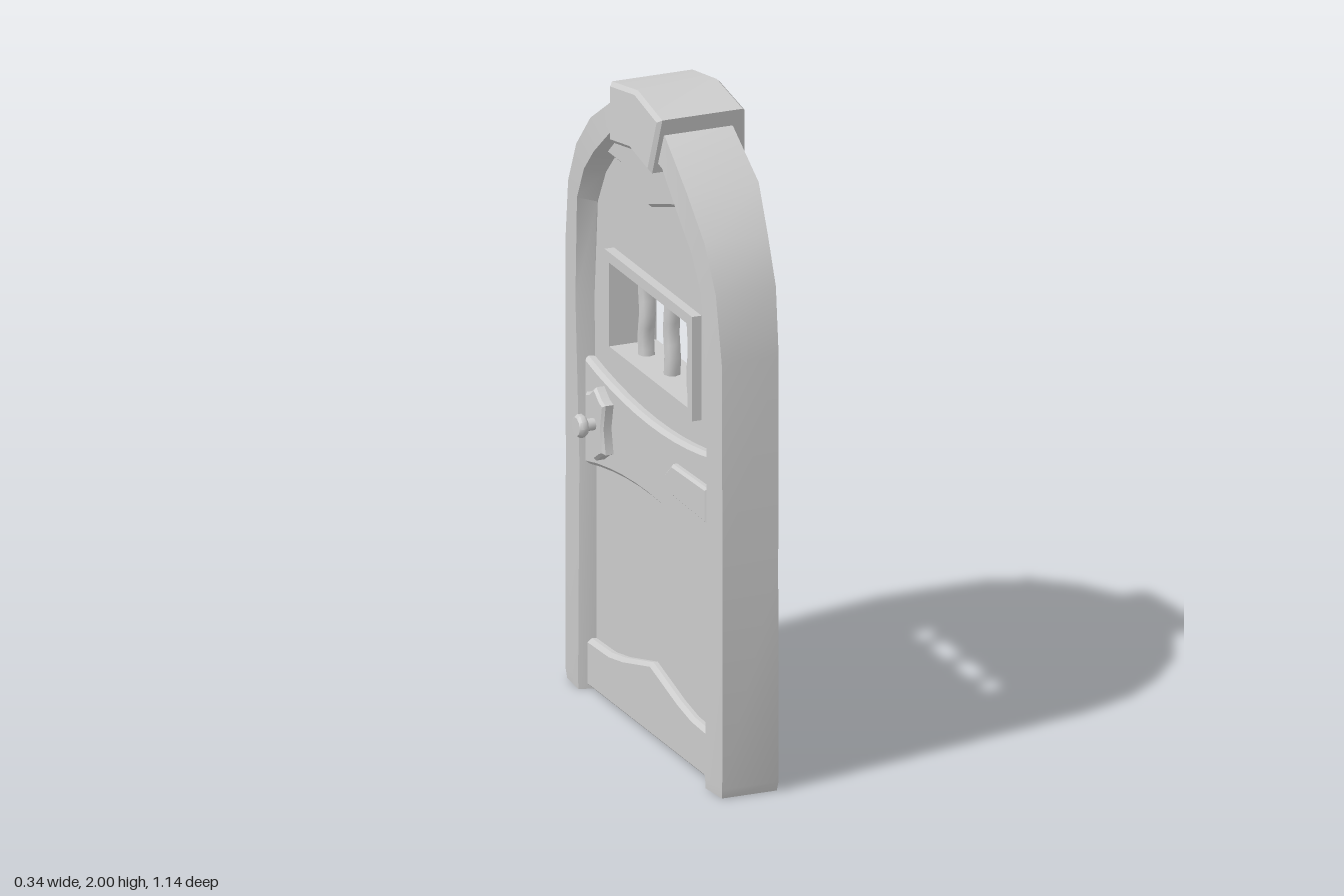
import * as THREE from 'three';
import { toCreasedNormals } from 'three/addons/utils/BufferGeometryUtils.js';

const material = new THREE.MeshStandardMaterial({ color: 0xcccccc });

function addMesh(parent, name, geometry, crease = 0.45) {
  const mesh = new THREE.Mesh(toCreasedNormals(geometry, crease), material);
  mesh.name = name;
  parent.add(mesh);
  return mesh;
}

const toShape = (pts) => new THREE.Shape(pts.map(([z, y]) => new THREE.Vector2(z, y)));
const mirrored = (half) => [...half, ...half.filter(([z]) => z !== 0).reverse().map(([z, y]) => [-z, y])];
const rect = (w, y0, y1) => [[w, y0], [w, y1], [-w, y1], [-w, y0]];

// Extrudes a (z, y) outline through the door, centred on x = 0, with a chamfered rim
function slab(shape, halfX, bevel = 0.01) {
  const g = new THREE.ExtrudeGeometry(shape, {
    depth: 2 * (halfX - bevel), bevelEnabled: bevel > 0, bevelThickness: bevel,
    bevelSize: bevel, bevelOffset: -bevel, bevelSegments: 1, curveSegments: 10,
  });
  g.translate(0, 0, -(halfX - bevel));
  g.rotateY(-Math.PI / 2);
  return g;
}

// Closed loft through equal rings of points, capped at both ends
function loft(rings) {
  const n = rings[0].length, index = [];
  for (let s = 0; s < rings.length - 1; s++) {
    for (let k = 0; k < n; k++) {
      const a = s * n + k, b = s * n + (k + 1) % n;
      index.push(a, b, b + n, a, b + n, a + n);
    }
  }
  const e = (rings.length - 1) * n;
  for (let k = 1; k < n - 1; k++) index.push(0, k + 1, k, e, e + k, e + k + 1);
  const g = new THREE.BufferGeometry();
  g.setAttribute('position', new THREE.Float32BufferAttribute(rings.flat(2), 3));
  g.setIndex(index);
  return g;
}

// Half arch stations: outer z, outer y, inner z, inner y, outer half depth, inner half depth
const ARCH = [
  [0.562, 0, 0.462, 0, 0.095, 0.103],
  [0.57, 0.03, 0.462, 0.03, 0.097, 0.104],
  [0.57, 0.7, 0.462, 0.7, 0.096, 0.1],
  [0.569, 1.34, 0.477, 1.2, 0.098, 0.106],
  [0.537, 1.544, 0.452, 1.52, 0.103, 0.112],
  [0.467, 1.68, 0.39, 1.63, 0.108, 0.117],
  [0.35, 1.8, 0.31, 1.71, 0.114, 0.121],
  [0.18, 1.915, 0.18, 1.82, 0.108, 0.118],
  [0, 1.96, 0, 1.85, 0.108, 0.118],
];

function archFrame() {
  const ring = ([oz, oy, iz, iy, ox, ix], side) => {
    const slant = side > 0 && oy < 1.75 ? 0.016 : 0;
    const mz = iz * 0.965, my = iy > 1.3 ? iy - 0.015 : iy;
    return [
      [-ox, oy, side * oz], [ox - slant, oy, side * oz], [ix, iy, side * iz],
      [0.055, my, side * mz], [-0.055, my, side * mz], [-ix, iy, side * iz],
    ];
  };
  return loft([
    ...ARCH.map((s) => ring(s, 1)),
    ...ARCH.slice(0, -1).reverse().map((s) => ring(s, -1)),
  ]);
}

export function createModel() {
  const model = new THREE.Group();
  model.name = 'archedDoor';

  // Stone surround
  addMesh(model, 'archFrame', archFrame());

  // Keystone, flaring towards its lower edge
  const key = slab(toShape(mirrored([[0.145, 1.795], [0.183, 1.968], [0, 2]])
    .concat([[0, 1.82]])), 0.15, 0.012);
  const kp = key.attributes.position;
  for (let i = 0; i < kp.count; i++) {
    const flare = 1.03 - 0.13 * (kp.getY(i) - 1.8) / 0.2;
    kp.setX(i, kp.getX(i) * flare + 0.009);
  }
  addMesh(model, 'keystone', key);

  const door = new THREE.Group();
  door.name = 'door';
  door.position.x = -0.008;
  model.add(door);

  // Door leaf with window opening
  const leafHalf = ARCH.map(([, , z, y]) => [z, y > 1.3 ? y + 0.015 : y]);
  const leaf = toShape(mirrored(leafHalf));
  leaf.holes.push(new THREE.Path(rect(0.287, 1.108, 1.372).map((p) => new THREE.Vector2(...p))));
  addMesh(door, 'leaf', slab(leaf, 0.045, 0));

  // Bottom rail rising to a point
  addMesh(door, 'bottomRail', slab(toShape(mirrored(
    [[0.465, 0.005], [0.465, 0.155], [0.3, 0.16], [0.2, 0.178], [0, 0.23]])), 0.07, 0.012));

  // Bowed middle rail
  const rail = new THREE.Shape();
  rail.moveTo(0.468, 0.69);
  rail.quadraticCurveTo(0, 0.8, -0.468, 0.69);
  rail.lineTo(-0.468, 1.025);
  rail.quadraticCurveTo(0, 0.93, 0.468, 1.025);
  addMesh(door, 'middleRail', slab(rail, 0.075, 0.012));

  // Top board filling the arch, pointed below
  const top = [[0, 1.635], [0.2, 1.7], [0.325, 1.705], [0.18, 1.835], [0, 1.865]];
  addMesh(door, 'topBoard', slab(toShape(
    [...top, ...top.slice(1, -1).reverse().map(([z, y]) => [-z, y])]), 0.075, 0.01));

  // Window surround and bars
  const surround = toShape(rect(0.318, 1.08, 1.402));
  surround.holes.push(new THREE.Path(rect(0.285, 1.112, 1.37).map((p) => new THREE.Vector2(...p))));
  addMesh(door, 'windowFrame', slab(surround, 0.075, 0));
  [0.17, 0, -0.185].forEach((z, i) => {
    const bend = i === 1 ? -0.006 : 0.007;
    const path = new THREE.CatmullRomCurve3([1.09, 1.17, 1.24, 1.31, 1.39].map((y, k) =>
      new THREE.Vector3(0, y, z + bend * [0.4, -0.8, 1, -0.4, 0.8][k])));
    addMesh(door, 'windowBar', new THREE.TubeGeometry(path, 8, 0.026, 8, false), 1);
  });

  // Hinge strap, showing on both faces
  addMesh(door, 'hingeStrap', slab(toShape(
    [[0.462, 0.812], [0.462, 0.922], [0.21, 0.915], [0.155, 0.866], [0.21, 0.818]]), 0.095, 0.008));

  // Handle plate, showing on both faces
  const plate = toShape([
    [0, 0.978], [0.04, 0.95], [0.068, 0.942], [0.052, 0.866], [0.068, 0.79], [0.04, 0.778],
    [0, 0.752], [-0.04, 0.778], [-0.068, 0.79], [-0.052, 0.866], [-0.068, 0.942], [-0.04, 0.95],
  ].map(([z, y]) => [z - 0.32, y]).reverse());
  addMesh(door, 'handlePlate', slab(plate, 0.108, 0.008));

  // Knobs, one per face
  const profile = [[0, 0.09], [0.018, 0.09], [0.018, 0.136], [0.029, 0.136],
    [0.035, 0.143], [0.035, 0.156], [0.028, 0.165], [0, 0.165]].map((p) => new THREE.Vector2(...p));
  for (const side of [1, -1]) {
    const knob = addMesh(door, 'knob', new THREE.LatheGeometry(profile, 10), 0.7);
    knob.rotation.z = -side * Math.PI / 2;
    knob.position.set(0, 0.866, -0.32);
  }

  return model;
}
